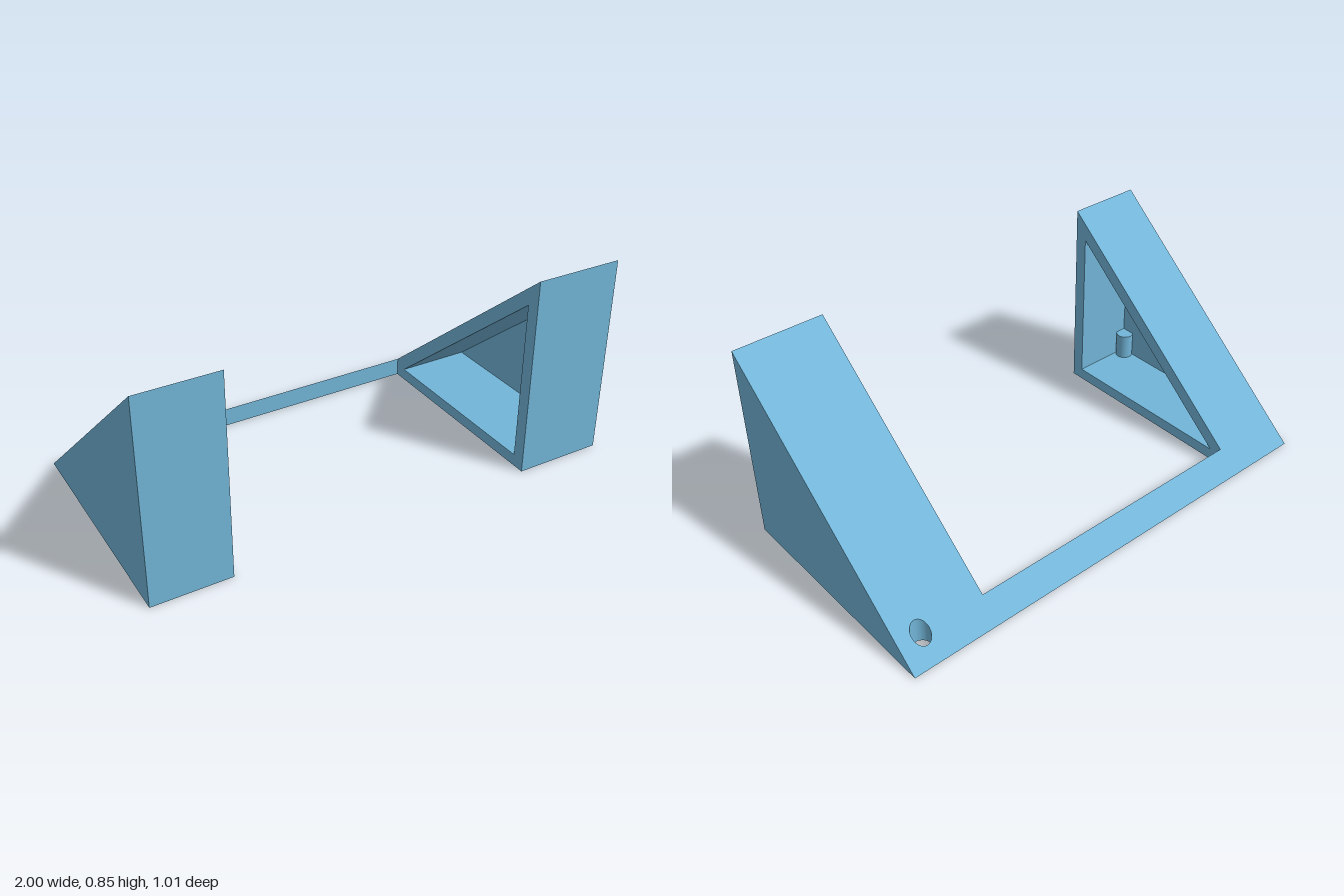
import * as THREE from 'three';

const blue = new THREE.MeshStandardMaterial({ color: 0x72b5d8, side: THREE.DoubleSide });
blue.name = 'light blue plastic';

const F = 0.505, H = 0.85, K = H / (2 * F);      // front depth, height, slope
const BAR = -0.41;                               // front of the crossbar
const WALL = 0.055, FLOOR = 0.05, ROOF = 0.075;  // shell thicknesses
const R = 0.038;                                 // hole radius
const slopeAt = z => K * (z + F);

// Flat panel: outline in (u, v), laid out along axes u and v, facing u x v
function panel(name, outline, holes, origin, u, v) {
  const shape = new THREE.Shape(outline.map(p => new THREE.Vector2(...p)));
  for (const h of holes) shape.holes.push(h);
  const U = new THREE.Vector3(...u), V = new THREE.Vector3(...v);
  const m = new THREE.Matrix4().makeBasis(U, V, new THREE.Vector3().crossVectors(U, V));
  m.setPosition(...origin);
  const g = new THREE.ShapeGeometry(shape, 16).applyMatrix4(m);
  g.computeVertexNormals();
  const mesh = new THREE.Mesh(g, blue);
  mesh.name = name;
  return mesh;
}
const circle = (a, b) => new THREE.Path().absarc(a, b, R, 0, Math.PI * 2, true);
const polygon = pts => new THREE.Path(pts.map(p => new THREE.Vector2(...p)));
const rect = (a, b, c, d) => [[a, c], [b, c], [b, d], [a, d]];

// Panel facing +x (s = 1) or -x (s = -1), points given as (z, y)
function side(name, s, x, pts, holes = []) {
  const flip = list => list.map(([z, y]) => [-s * z, y]);
  return panel(name, flip(pts), holes.map(h => polygon(flip(h))), [x, 0, 0], [0, 0, -s], [0, 1, 0]);
}

export function createModel() {
  const model = new THREE.Group();
  model.name = 'wedgeStand';
  const inL = -0.675, inR = 0.62;
  const wedges = [
    { name: 'rightWedge', outer: -1, inner: inL, s: 1, postX: -0.92 },
    { name: 'leftWedge', outer: 1, inner: inR, s: -1, postX: 0.70 },
  ];
  const postZ = 0.418, boreX = 0.9, boreZ = -0.41;

  // U-shaped underside and sloping top
  const plan = [[-1, -F], [1, -F], [1, F], [inR, F], [inR, BAR], [inL, BAR], [inL, F], [-1, F]];
  model.add(panel('underside', plan,
    [circle(boreX, boreZ), ...wedges.map(w => circle(w.postX, postZ))],
    [0, 0, 0], [1, 0, 0], [0, 0, 1]));
  model.add(panel('slopingTop', plan.map(([x, z]) => [x, -z]), [circle(boreX, -boreZ)],
    [0, K * F, 0], [1, 0, 0], [0, -K, -1]));

  // Front of the crossbar
  model.add(panel('crossbarFront', rect(inL, inR, 0, slopeAt(BAR)), [],
    [0, 0, BAR], [1, 0, 0], [0, 1, 0]));

  // Round bore running through the thin corner
  const bore = new THREE.CylinderGeometry(R, R, 1, 32, 1, true).translate(boreX, 0.5, boreZ);
  const p = bore.attributes.position;
  for (let i = 0; i < p.count; i++) if (p.getY(i) > 0.5) p.setY(i, slopeAt(p.getZ(i)));
  const boreMesh = new THREE.Mesh(bore, blue);
  boreMesh.name = 'throughHole';
  model.add(boreMesh);

  // Wedges, each with a triangular pocket open on its inner side
  const triangle = [[F, 0], [F, H], [-F, 0]];
  const pz = F - WALL, tip = (FLOOR + ROOF) / K - F;
  const pocket = [[pz, FLOOR], [pz, slopeAt(pz) - ROOF], [tip, FLOOR]];
  for (const { name, outer, inner, s, postX } of wedges) {
    const g = new THREE.Group();
    g.name = name;
    const deep = outer + s * WALL;
    g.add(side('outerSide', -s, outer, triangle));
    // The inner side is cut off where the crossbar joins
    g.add(side('innerSide', s, inner,
      [[F, 0], [F, H], [BAR, slopeAt(BAR)], [BAR, 0]], [pocket]));
    g.add(panel('frontFace', rect(outer, inner, 0, H), [], [0, 0, F], [1, 0, 0], [0, 1, 0]));
    g.add(side('pocketBack', s, deep, pocket));
    g.add(panel('pocketFloor', rect(deep, inner, -pz, -tip), [circle(postX, -postZ)],
      [0, FLOOR, 0], [1, 0, 0], [0, 0, -1]));
    g.add(panel('pocketFrontWall', rect(-deep, -inner, FLOOR, slopeAt(pz) - ROOF), [],
      [0, 0, pz], [-1, 0, 0], [0, 1, 0]));
    g.add(panel('pocketRoof', rect(deep, inner, tip, pz), [],
      [0, K * F - ROOF, 0], [1, 0, 0], [0, K, 1]));

    // Hollow peg socket, open below and capped inside the pocket
    const top = 0.165;
    const post = new THREE.Mesh(new THREE.CylinderGeometry(R, R, top, 32, 1, true), blue);
    post.name = 'pegSocket';
    post.position.set(postX, top / 2, postZ);
    const cap = new THREE.Mesh(new THREE.CircleGeometry(R, 32).rotateX(-Math.PI / 2), blue);
    cap.name = 'pegSocketCap';
    cap.position.set(postX, top, postZ);
    g.add(post, cap);
    model.add(g);
  }
  return model;
}
